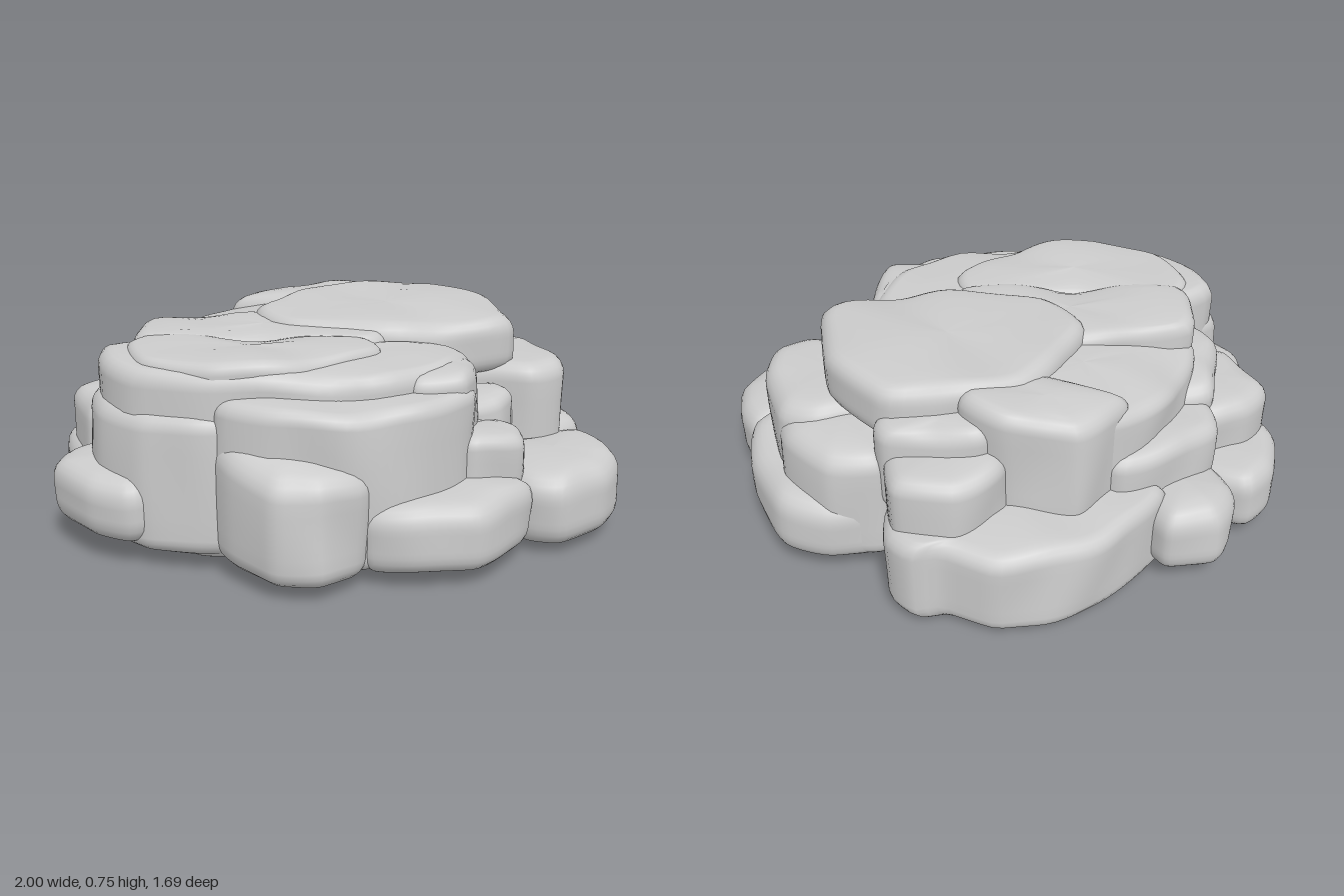
import * as THREE from 'three';

const material = new THREE.MeshStandardMaterial({ color: 0xcccccc });
const SIDES = 64;

// Weathering: a smooth function of position
const wobble = (x, y, z) =>
  Math.sin(9 * x + 4 * y + 1) * Math.sin(8 * z - 5 * y) + 0.5 * Math.sin(17 * x - 13 * z + 9 * y);

// One weathered slab: outline is [x, z] pairs seen from above, y0..y1 its height,
// round its edge radius, tiltX and tiltZ the slope of its upper side
function slab(name, outline, y0, y1, round = 0.07, tiltX = 0, tiltZ = 0) {
  const corners = outline.map(([x, z]) => new THREE.Vector3(x, 0, z));
  const curve = new THREE.CatmullRomCurve3(corners, true, 'catmullrom', 0.3);
  const loop = curve.getSpacedPoints(SIDES).slice(0, SIDES);
  if (THREE.ShapeUtils.area(loop.map(p => new THREE.Vector2(p.x, p.z))) < 0) loop.reverse();
  const centre = loop.reduce((s, p) => s.add(p), new THREE.Vector3()).divideScalar(SIDES);
  const r = Math.min(round, (y1 - y0) * 0.45);

  // Cross-section: [inset, height, share of the full width]
  const rings = [[0, y0 - 0.01, 0], [r, y0 - 0.006, 0.45], [r, y0 - 0.003, 0.8]];
  for (let i = 0; i <= 5; i++) {
    const a = (i / 5) * Math.PI / 2;
    rings.push([r * (1 - Math.sin(a)), y0 + r * (1 - Math.cos(a)), 1]);
  }
  for (let i = 1; i < 5; i++) rings.push([0, y0 + r + (y1 - y0 - 2 * r) * i / 5, 1]);
  for (let i = 0; i <= 5; i++) {
    const a = (i / 5) * Math.PI / 2;
    rings.push([r * (1 - Math.cos(a)), y1 - r + r * Math.sin(a), 1]);
  }
  rings.push([r, y1 + 0.004, 0.8], [r, y1 + 0.007, 0.45], [0, y1 + 0.008, 0]);

  const pos = [], index = [];
  rings.forEach(([inset, y, share], j) => {
    const t = (y - y0) / (y1 - y0);
    loop.forEach((p, i) => {
      const dx = p.x - centre.x, dz = p.z - centre.z, d = Math.hypot(dx, dz);
      const push = share === 1 ? 0.01 * wobble(p.x, y, p.z) - 0.008 : 0;
      const k = share * (1 - inset / d) + push / d;
      const x = centre.x + dx * k, z = centre.z + dz * k;
      const slope = t * (tiltX * (x - centre.x) + tiltZ * (z - centre.z));
      pos.push(x, Math.max(0, y + slope + 0.008 * wobble(x, 0, z)), z);
      if (j < rings.length - 1) {
        const a = j * SIDES + i, c = j * SIDES + (i + 1) % SIDES;
        index.push(a, a + SIDES, c, c, a + SIDES, c + SIDES);
      }
    });
  });
  const geo = new THREE.BufferGeometry();
  geo.setAttribute('position', new THREE.Float32BufferAttribute(pos, 3));
  geo.setIndex(index);
  geo.computeVertexNormals();
  const mesh = new THREE.Mesh(geo, material);
  mesh.name = name;
  return mesh;
}

export function createModel() {
  const group = new THREE.Group();
  group.name = 'rockPile';
  group.add(
    // Upper tier
    slab('topCap', [[-0.29, -0.08], [-0.1, -0.42], [0.1, -0.47], [0.38, -0.49], [0.58, -0.26], [0.64, 0.05], [0.52, 0.14], [0.18, 0.2], [-0.18, 0.13]], 0.53, 0.735, 0.06, 0, -0.03),
    slab('topLeft', [[-0.7, 0.1], [-0.66, -0.04], [-0.3, -0.12], [0, -0.15], [0.2, 0], [0.15, 0.24], [-0.15, 0.26], [-0.66, 0.24]], 0.3, 0.7, 0.05),
    slab('topBackLeft', [[-0.69, 0.03], [-0.6, -0.3], [-0.4, -0.5], [-0.2, -0.55], [0.1, -0.45], [0.1, -0.1], [-0.3, 0.05]], 0.3, 0.66, 0.05, 0.15),
    slab('topBack', [[-0.42, -0.42], [-0.36, -0.52], [-0.24, -0.63], [0, -0.6], [0.14, -0.47], [0, -0.3], [-0.25, -0.35]], 0.28, 0.705, 0.06, 0.08),
    slab('topBackRight', [[-0.02, -0.5], [0.08, -0.58], [0.38, -0.56], [0.42, -0.45], [0.2, -0.3]], 0.3, 0.64, 0.06),
    slab('topFront', [[-0.8, 0.27], [-0.66, 0.18], [-0.4, 0.2], [-0.15, 0.17], [0.15, 0.18], [0.42, 0.14], [0.48, 0.25], [0.37, 0.45], [0.16, 0.6], [-0.1, 0.61], [-0.4, 0.62], [-0.65, 0.55], [-0.76, 0.42]], 0.07, 0.67, 0.06, -0.01),
    slab('topFrontRidge', [[-0.7, 0.28], [-0.62, 0.18], [-0.3, 0.2], [0.1, 0.22], [0.16, 0.36], [-0.1, 0.56], [-0.38, 0.61], [-0.62, 0.5]], 0.4, 0.697, 0.04, 0, 0.02),
    slab('topFrontCorner', [[0.22, 0.28], [0.43, 0.17], [0.49, 0.28], [0.42, 0.52], [0.24, 0.54]], 0.3, 0.645, 0.05),

    // Middle tier
    slab('middleFrontLeft', [[-0.83, 0.28], [-0.65, 0.2], [-0.2, 0.3], [-0.25, 0.6], [-0.42, 0.64], [-0.62, 0.6], [-0.77, 0.46]], 0.06, 0.54, 0.06),
    slab('middleFront', [[-0.38, 0.4], [-0.38, 0.62], [-0.2, 0.73], [0.05, 0.75], [0.28, 0.67], [0.45, 0.5], [0.43, 0.25], [0, 0.2]], 0.06, 0.59, 0.05),
    slab('middleRight', [[0.35, 0.05], [0.68, 0.14], [0.81, 0.07], [0.83, -0.08], [0.75, -0.31], [0.6, -0.35], [0.35, -0.25]], 0.06, 0.57, 0.07),
    slab('middleRightBack', [[0.3, -0.3], [0.38, -0.54], [0.57, -0.54], [0.73, -0.38], [0.75, -0.22], [0.5, -0.15]], 0.08, 0.52, 0.07),
    slab('middleBackRight', [[-0.05, -0.45], [-0.01, -0.62], [0.15, -0.73], [0.35, -0.69], [0.39, -0.5], [0.2, -0.3]], 0.08, 0.545, 0.06),
    slab('middleBackLeft', [[-0.74, -0.18], [-0.73, -0.31], [-0.6, -0.44], [-0.38, -0.53], [-0.25, -0.4], [-0.4, 0], [-0.65, 0]], 0.1, 0.48, 0.06),
    slab('middleLeft', [[-0.79, 0], [-0.73, -0.18], [-0.5, -0.2], [-0.45, 0.2], [-0.72, 0.25], [-0.81, 0.15]], 0.08, 0.54, 0.07),
    slab('upperRightLedge', [[0.3, 0.05], [0.58, 0.08], [0.63, 0.18], [0.57, 0.28], [0.35, 0.35]], 0.1, 0.5, 0.05),
    slab('rightLedge', [[0.35, 0.25], [0.57, 0.25], [0.63, 0.33], [0.61, 0.45], [0.45, 0.53], [0.32, 0.45]], 0.1, 0.43, 0.05),

    // Lower tier, around the foot
    slab('frontBoulder', [[-0.39, 0.58], [-0.33, 0.7], [-0.2, 0.83], [-0.14, 0.85], [-0.02, 0.85], [0.11, 0.74], [0.12, 0.5], [-0.3, 0.45]], 0.04, 0.45, 0.08, -0.08, -0.2),
    slab('frontRightBoulder', [[0.05, 0.45], [0.08, 0.72], [0.24, 0.76], [0.47, 0.73], [0.62, 0.57], [0.65, 0.45], [0.4, 0.3]], 0.05, 0.285, 0.07),
    slab('rightBoulder', [[0.56, 0.1], [0.75, 0], [0.9, -0.03], [0.98, 0.08], [1.01, 0.22], [0.93, 0.38], [0.76, 0.5], [0.63, 0.47], [0.5, 0.3]], 0.03, 0.295, 0.08),
    slab('backRightBoulder', [[0.4, -0.4], [0.42, -0.54], [0.58, -0.56], [0.75, -0.49], [0.88, -0.25], [0.9, -0.03], [0.75, 0.1], [0.45, 0]], 0.07, 0.33, 0.08),
    slab('backBoulder', [[-0.56, -0.48], [-0.36, -0.71], [-0.15, -0.83], [0.03, -0.85], [0.2, -0.77], [0.3, -0.78], [0.39, -0.69], [0.38, -0.5], [0, -0.3], [-0.4, -0.35]], 0.02, 0.35, 0.06),
    slab('backLeftBoulder', [[-0.79, -0.43], [-0.72, -0.59], [-0.54, -0.61], [-0.44, -0.45], [-0.5, -0.28], [-0.72, -0.25]], 0.05, 0.31, 0.08),
    slab('leftBoulder', [[-1.01, -0.08], [-0.96, -0.28], [-0.86, -0.38], [-0.68, -0.28], [-0.55, 0], [-0.7, 0.25], [-0.92, 0.17]], 0.03, 0.27, 0.07),
    slab('leftUpperBoulder', [[-0.97, -0.03], [-0.87, -0.17], [-0.7, -0.21], [-0.55, 0], [-0.65, 0.22], [-0.86, 0.22]], 0.15, 0.45, 0.07),
    slab('frontLeftBoulder', [[-0.94, 0.26], [-0.84, 0.18], [-0.55, 0.25], [-0.5, 0.5], [-0.64, 0.62], [-0.8, 0.57], [-0.96, 0.39]], 0.09, 0.32, 0.08),

    // Underside and core
    slab('core', [[-0.65, 0.15], [-0.5, -0.35], [0, -0.5], [0.5, -0.35], [0.65, 0.1], [0.35, 0.5], [-0.35, 0.52]], 0.07, 0.45, 0.07),
    slab('underFront', [[-0.72, 0.3], [-0.5, 0.12], [-0.1, 0.15], [0.05, 0.4], [-0.1, 0.6], [-0.45, 0.6]], 0.04, 0.2, 0.05),
    slab('underCentre', [[-0.35, 0.05], [-0.2, -0.25], [0.15, -0.3], [0.35, -0.05], [0.2, 0.2], [-0.15, 0.24]], 0.015, 0.2, 0.05),
    slab('underBack', [[-0.4, -0.45], [-0.15, -0.7], [0.15, -0.72], [0.3, -0.5], [0.1, -0.3], [-0.25, -0.25]], 0.015, 0.2, 0.05),
  );
  return group;
}
